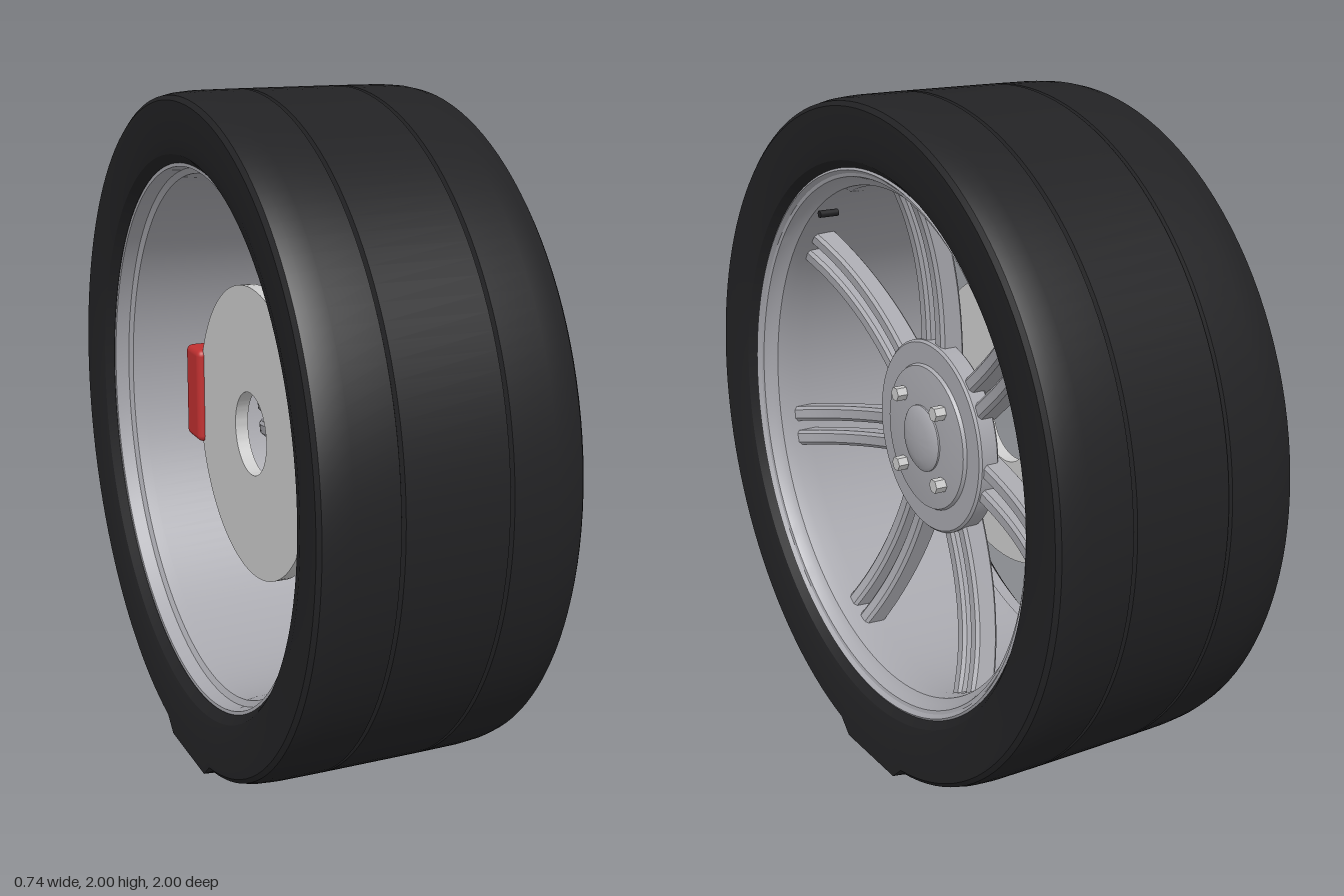
import * as THREE from 'three';
import { toCreasedNormals } from 'three/addons/utils/BufferGeometryUtils.js';
import { RoundedBoxGeometry } from 'three/addons/geometries/RoundedBoxGeometry.js';

const material = (color) => new THREE.MeshStandardMaterial({ color });
const rubber = material(0x222224);
const alloy = material(0xa8a8ae);
const steel = material(0xcccccc);
const red = material(0xc03030);

function addMesh(parent, name, geometry, mat) {
  const mesh = new THREE.Mesh(geometry, mat);
  mesh.name = name;
  parent.add(mesh);
  return mesh;
}

// Revolves [radius, x] points around the x axis.
function revolve(points, segments = 96) {
  const profile = points.map(([r, x]) => new THREE.Vector2(r, x));
  return new THREE.LatheGeometry(profile, segments).rotateZ(-Math.PI / 2);
}

const creased = (geometry, angle = 0.5) => toCreasedNormals(geometry, angle);

// Tyre with two tread grooves and a flattened contact patch.
function tyreGeometry() {
  const half = [
    [0.8, -0.33], [0.825, -0.355], [0.87, -0.367], [0.975, -0.37], [0.988, -0.36],
    [0.995, -0.33], [0.999, -0.28], [1, -0.156], [0.988, -0.15], [1, -0.144],
  ];
  const mirrored = half.map(([r, x]) => [r, -x]).reverse();
  const geometry = revolve([...half, ...mirrored, half[0]], 128);
  const p = geometry.attributes.position;
  for (let i = 0; i < p.count; i++) {
    const y = p.getY(i), z = p.getZ(i);
    if (y < 0 && Math.abs(z) < 0.17 && Math.hypot(y, z) > 0.97) p.setY(i, -1);
  }
  return creased(geometry);
}

// One curved spoke bar, drawn in side view (x = axle, y = radius).
function spokeBarGeometry() {
  const shape = new THREE.Shape();
  shape.moveTo(0.132, 0.26);
  shape.quadraticCurveTo(0.13, 0.56, 0.23, 0.75);
  shape.lineTo(0.17, 0.75);
  shape.quadraticCurveTo(0.08, 0.54, 0.075, 0.26);
  const geometry = new THREE.ExtrudeGeometry(shape, {
    depth: 0.028, bevelEnabled: true, bevelThickness: 0.01, bevelSize: 0.009,
    bevelSegments: 1, curveSegments: 14,
  });
  return creased(geometry.translate(0, 0, -0.014));
}

export function createModel() {
  const model = new THREE.Group();
  model.name = 'wheel';
  const wheel = new THREE.Group();
  wheel.name = 'wheelAssembly';
  wheel.position.y = 1;
  model.add(wheel);

  addMesh(wheel, 'tyre', tyreGeometry(), rubber);

  // Rim barrel with a stepped lip at each end
  addMesh(wheel, 'rim', creased(revolve([
    [0.81, -0.33], [0.81, 0.33], [0.797, 0.337], [0.787, 0.325], [0.777, 0.322],
    [0.767, 0.3], [0.75, 0.285], [0.745, 0.25], [0.75, 0.19], [0.765, -0.24],
    [0.768, -0.275], [0.785, -0.285], [0.79, -0.328], [0.81, -0.33],
  ], 128)), alloy);

  // Seven pairs of spoke bars
  const bar = spokeBarGeometry();
  for (let i = 0; i < 7; i++) {
    const spoke = new THREE.Group();
    spoke.name = 'spokePair';
    spoke.rotation.x = (i * Math.PI * 2) / 7;
    for (const side of [-1, 1]) {
      addMesh(spoke, 'spokeBar', bar, alloy).position.z = side * 0.04;
    }
    wheel.add(spoke);
  }

  // Hub plate with a raised centre
  addMesh(wheel, 'hub', creased(revolve([
    [0, 0.09], [0.283, 0.09], [0.29, 0.097], [0.29, 0.147], [0.283, 0.154],
    [0.22, 0.154], [0.215, 0.164], [0.16, 0.17], [0.1, 0.173], [0, 0.173],
  ])), alloy);
  addMesh(wheel, 'centreCap', creased(revolve([
    [0.1, 0.165], [0.1, 0.178], [0.09, 0.185], [0.06, 0.192], [0.03, 0.196], [0, 0.197],
  ], 48)), alloy);

  // Four hexagonal wheel bolts
  const bolt = creased(new THREE.CylinderGeometry(0.022, 0.022, 0.05, 6).rotateZ(-Math.PI / 2));
  for (const y of [-0.11, 0.11]) {
    for (const z of [-0.11, 0.11]) {
      addMesh(wheel, 'wheelBolt', bolt, steel).position.set(0.178, y, z);
    }
  }

  // Brake disc with an open centre, and its caliper
  addMesh(wheel, 'brakeDisc', creased(revolve([
    [0.125, -0.155], [0.44, -0.155], [0.44, -0.115], [0.125, -0.115], [0.125, -0.155],
  ])), steel);
  addMesh(wheel, 'brakeCaliper', new RoundedBoxGeometry(0.11, 0.3, 0.12, 4, 0.02), red)
    .position.set(-0.12, 0.013, -0.46);

  // Tyre valve
  addMesh(wheel, 'valve', new THREE.CylinderGeometry(0.011, 0.011, 0.06, 16).rotateZ(-Math.PI / 2), rubber)
    .position.set(0.27, 0.613, 0.378);

  return model;
}
